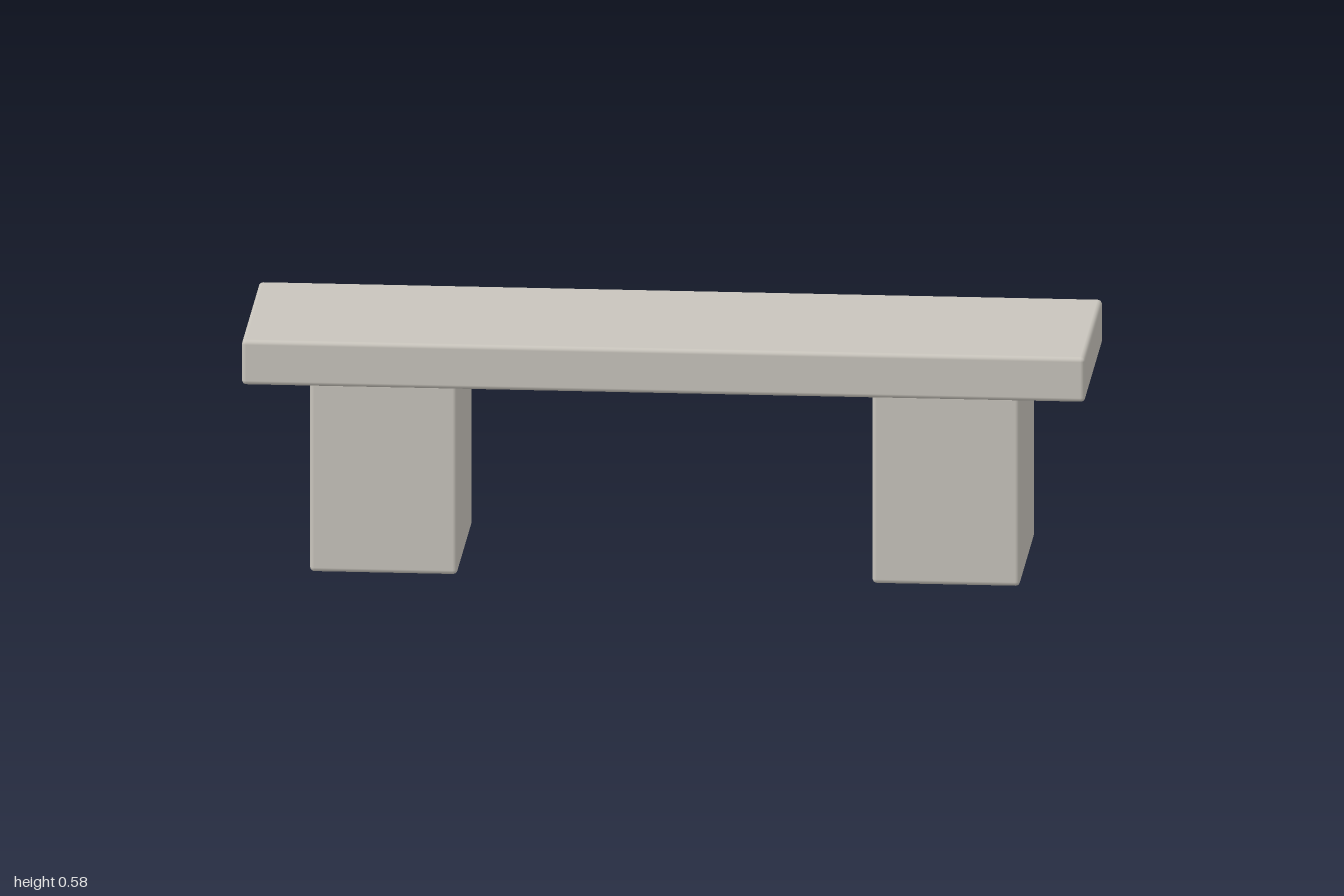
import * as THREE from 'three';
import { RoundedBoxGeometry } from 'three/addons/geometries/RoundedBoxGeometry.js';

export function createModel() {
  const bench = new THREE.Group();
  bench.name = 'bench';

  const stone = new THREE.MeshStandardMaterial({ color: 0xc8c4bc });
  stone.name = 'pale stone';

  // Block with softly eased edges, placed by its base height
  function block(name, width, height, depth, x, baseY) {
    const mesh = new THREE.Mesh(new RoundedBoxGeometry(width, height, depth, 2, 0.011), stone);
    mesh.name = name;
    mesh.position.set(x, baseY + height / 2, 0);
    bench.add(mesh);
  }

  const legHeight = 0.467;

  // Seat slab
  block('seat', 2, 0.11, 0.53, 0, legHeight);

  // Two block legs
  for (const [name, side] of [['leftLeg', 1], ['rightLeg', -1]]) {
    block(name, 0.35, legHeight, 0.442, side * 0.667, 0);
  }

  return bench;
}
